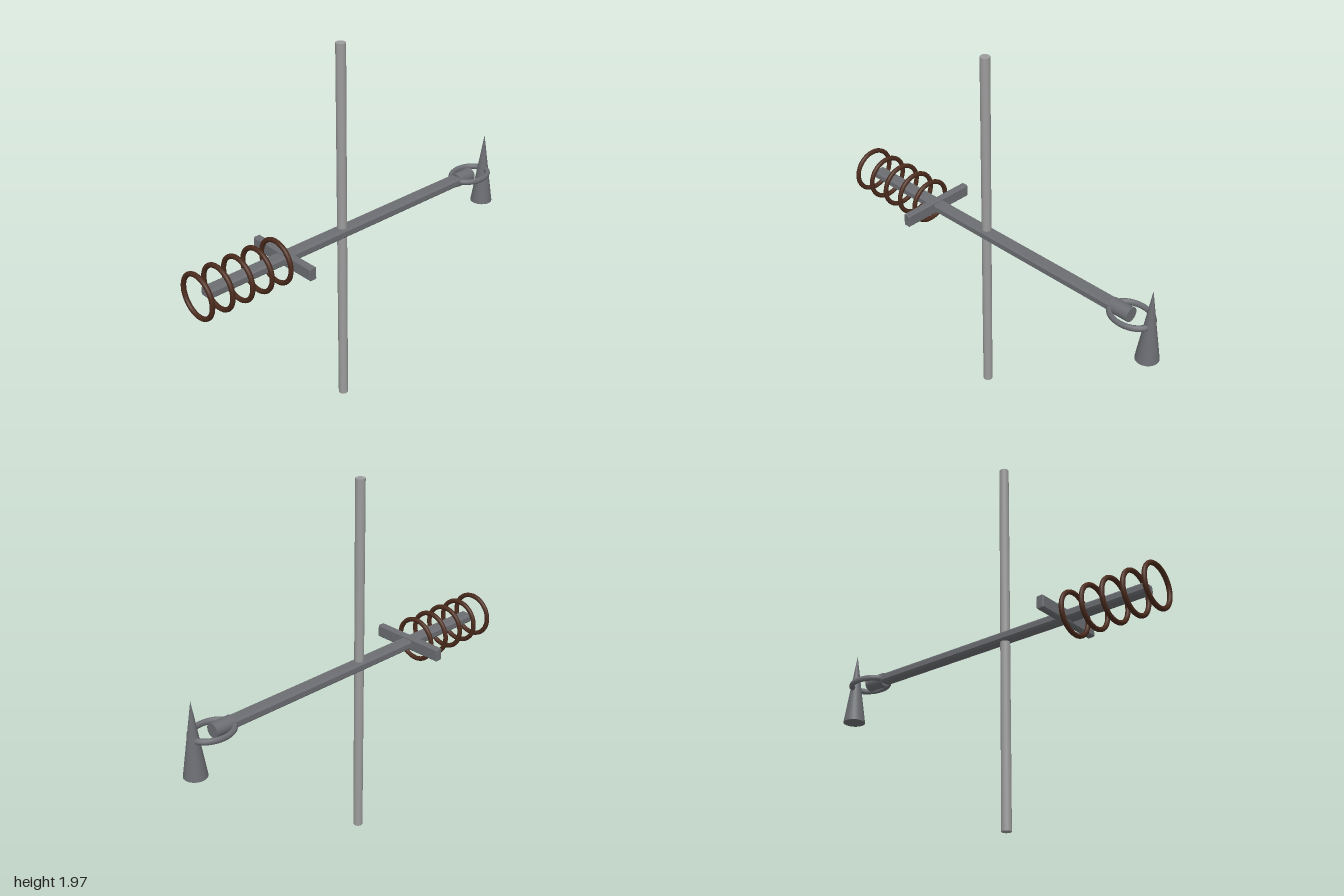
import * as THREE from 'three';

const AXIS_Y = 0.985; // height of the long shaft

export function createModel() {
  const model = new THREE.Group();
  const steel = new THREE.MeshStandardMaterial({ color: 0x6b6d72 });
  steel.name = 'darkSteel';
  const pale = new THREE.MeshStandardMaterial({ color: 0x9c9c9c });
  pale.name = 'paleMetal';
  const brown = new THREE.MeshStandardMaterial({ color: 0x4a2a1c });
  brown.name = 'brownLeather';

  const add = (name, geometry, material, x, y, z) => {
    const mesh = new THREE.Mesh(geometry, material);
    mesh.name = name;
    mesh.position.set(x, y, z);
    model.add(mesh);
    return mesh;
  };

  // Bar along z with chamfered long edges and slightly bevelled ends, centred
  const chamferedBar = (w, h, length, c, bevel) => {
    const a = w / 2 - bevel, b = h / 2 - bevel;
    const shape = new THREE.Shape([
      [a - c, -b], [a, -b + c], [a, b - c], [a - c, b],
      [-a + c, b], [-a, b - c], [-a, -b + c], [-a + c, -b],
    ].map(([x, y]) => new THREE.Vector2(x, y)));
    return new THREE.ExtrudeGeometry(shape, {
      depth: length - 2 * bevel, bevelEnabled: true, bevelSegments: 1,
      bevelSize: bevel, bevelThickness: bevel,
    }).center();
  };

  // Upright pole crossing the shaft
  add('pole', new THREE.CylinderGeometry(0.025, 0.025, 1.97, 16), pale, 0, 0.985, 0.11);

  // Long shaft and its cross guard
  add('shaft', chamferedBar(0.07, 0.048, 1.69, 0.008, 0.004), steel, 0, AXIS_Y, 0.1);
  const guard = add('crossGuard', chamferedBar(0.04, 0.068, 0.42, 0.004, 0.003), steel, 0, AXIS_Y, 0.482);
  guard.rotation.y = Math.PI / 2;

  // Grip rings
  for (let i = 0; i < 5; i++) {
    add('gripRing' + (i + 1), new THREE.TorusGeometry(0.11, 0.0125, 12, 40), brown,
      0, AXIS_Y, 0.533 + i * 0.1137);
  }

  // Collar at the rear end of the shaft
  const collar = add('collar', new THREE.CylinderGeometry(0.038, 0.038, 0.113, 20), steel, 0, AXIS_Y, -0.774);
  collar.rotation.x = Math.PI / 2;

  // Oval link lying flat, holding the spike
  const link = add('ovalLink', new THREE.TorusGeometry(0.112, 0.016, 12, 40), steel, 0, AXIS_Y, -0.83);
  link.rotation.x = Math.PI / 2;
  link.scale.x = 0.77;

  // Hanging spike
  add('spike', new THREE.ConeGeometry(0.059, 0.395, 24), steel, 0, 0.987, -0.94);

  return model;
}
